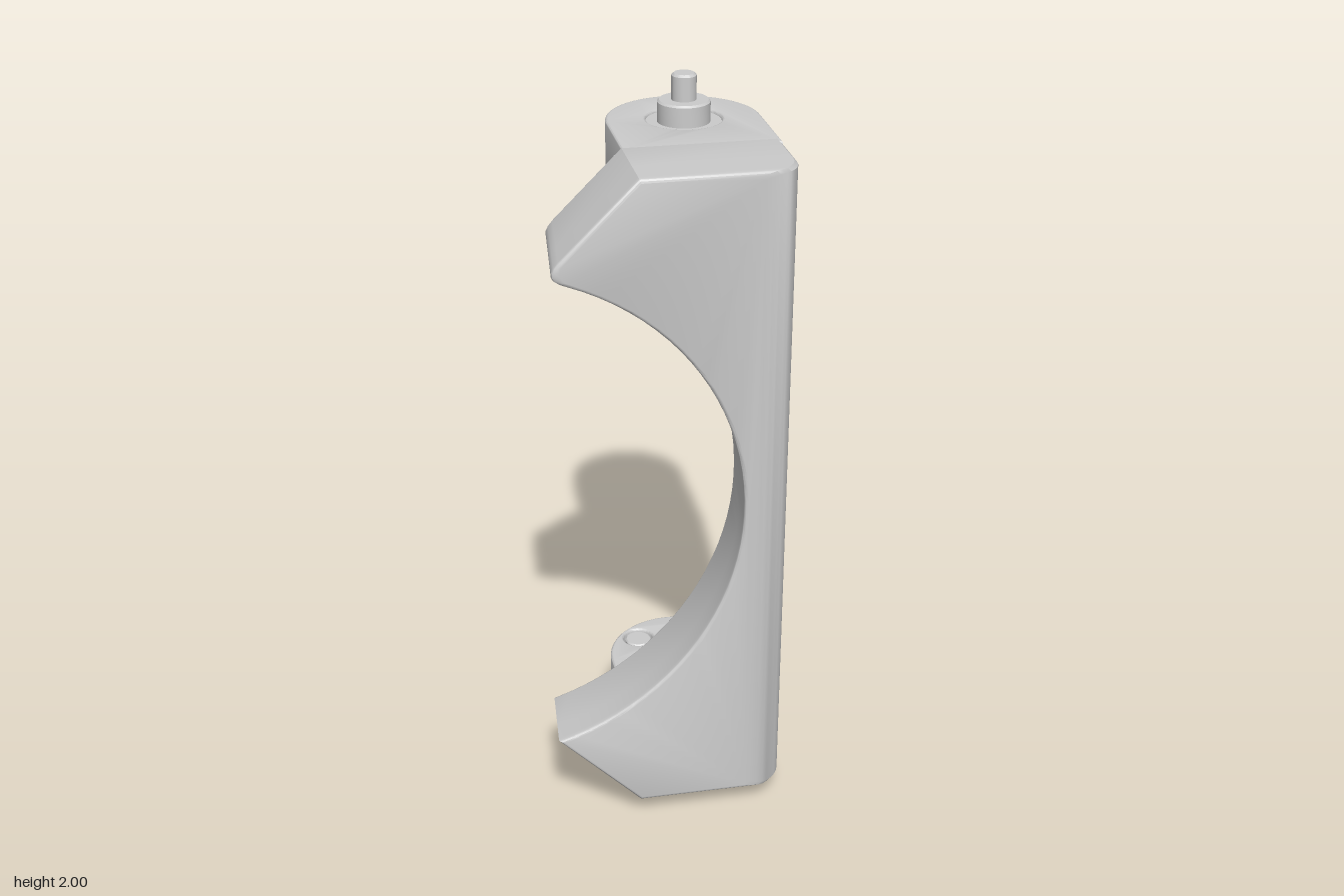
import * as THREE from 'three';
import { toCreasedNormals } from 'three/addons/utils/BufferGeometryUtils.js';

const material = new THREE.MeshStandardMaterial({ color: 0xcccccc });
const Y0 = 0.06, Y1 = 1.88, ARM = 0.17;          // body bottom, top and arm thickness
const LEFT = -0.09, RIGHT = 0.32, BACK = 0.08, FRONT = 0.335;
const CX = 0.115, CZ = -0.13, ARM_R = 0.205;     // arm axis and end radius

function add(parent, geometry, name) {
  const mesh = new THREE.Mesh(toCreasedNormals(geometry, 0.6), material);
  mesh.name = name;
  parent.add(mesh);
  return mesh;
}

// Outline of the upright at depth z, pulled in by e for the edge rounding
function uprightSection(z, e) {
  const r = 0.09, zc = FRONT - r;
  const xm = (z > zc ? RIGHT - r + Math.sqrt(Math.max(0, r * r - (z - zc) ** 2)) : RIGHT) - e;
  const y0 = Y0 + e, y1 = Y1 - e, b = 0.01;
  const R = THREE.MathUtils.mapLinear(z, BACK, FRONT, 0.73, 0.7) + e;
  const cx = -0.513, cy = 0.96;
  const onArc = (a) => new THREE.Vector2(cx + R * Math.cos(a), cy + R * Math.sin(a));
  const tipAngle = (k) => Math.acos((k + 1.414 * e) / (R * Math.SQRT2)) - Math.PI / 4;
  const aTop = tipAngle(-0.497), aBottom = -tipAngle(-0.477);

  const pts = [[xm - b, y0], [xm, y0 + b], [xm, y1 - b], [xm - b, y1], [LEFT + 0.4 * e, y1]]
    .map((p) => new THREE.Vector2(...p));
  // rounded upper tip
  const tip = onArc(aTop), d = 0.06, aStart = aTop - d / R;
  const slope = tip.clone().addScalar(d * Math.SQRT1_2);
  pts.push(...new THREE.QuadraticBezierCurve(slope, tip, onArc(aStart)).getPoints(6));
  // round cut-out down to the sharp lower tip
  const n = 40;
  for (let i = 1; i <= n; i++) pts.push(onArc(aStart + (aBottom - aStart) * i / n));
  pts.push(new THREE.Vector2(LEFT + 0.4 * e, y0));
  return pts;
}

// Upright lofted from back to front
function uprightGeometry() {
  const b = 0.01, levels = [];
  for (let i = 0; i <= 3; i++) {
    const a = i * Math.PI / 6;
    levels.push([BACK + b * (1 - Math.cos(a)), b * (1 - Math.sin(a))]);
  }
  for (let i = 0; i <= 6; i++) levels.push([FRONT - 0.09 + 0.08 * Math.sin(i * Math.PI / 12), 0]);
  for (let i = 1; i <= 3; i++) {
    const a = i * Math.PI / 6;
    levels.push([FRONT - b + b * Math.sin(a), b * (1 - Math.cos(a))]);
  }
  const sections = levels.map(([z, e]) => uprightSection(z, e));
  const n = sections[0].length, last = sections.length - 1;
  const position = [], index = [];
  sections.forEach((s, i) => s.forEach((p) => position.push(p.x, p.y, levels[i][0])));
  for (let i = 0; i < last; i++) {
    for (let j = 0; j < n; j++) {
      const k = (j + 1) % n, a = i * n + j, c = i * n + k;
      index.push(a, c, c + n, a, c + n, a + n);
    }
  }
  for (const [a, c, d] of THREE.ShapeUtils.triangulateShape(sections[last], [])) {
    index.push(a + last * n, c + last * n, d + last * n, a, d, c);
  }
  const g = new THREE.BufferGeometry();
  g.setAttribute('position', new THREE.Float32BufferAttribute(position, 3));
  g.setIndex(index);
  return g;
}

// Horizontal arm with a round end; holes are [x, z, radius]
function armGeometry(y, holes) {
  const b = 0.007, shape = new THREE.Shape();
  shape.moveTo(LEFT, -BACK - 0.03);
  shape.lineTo(RIGHT, -BACK - 0.03);
  shape.lineTo(RIGHT, -CZ);
  shape.absarc(CX, -CZ, ARM_R, 0, Math.PI, false);
  for (const [x, z, r] of holes) {
    shape.holes.push(new THREE.Path().absarc(x, -z, r, 0, Math.PI * 2, true));
  }
  const g = new THREE.ExtrudeGeometry(shape, {
    depth: ARM - 2 * b, bevelThickness: b, bevelSize: b, bevelOffset: -b, bevelSegments: 3, curveSegments: 24,
  });
  return g.rotateX(-Math.PI / 2).translate(0, y + b, 0);
}

// Concave fillet in a corner: u and v point along the two walls
function filletGeometry(r, length, origin, u, v) {
  const s = 0.01, shape = new THREE.Shape();
  shape.moveTo(-s, -s);
  shape.lineTo(r, -s);
  shape.lineTo(r, 0);
  shape.absarc(r, r, r, -Math.PI / 2, -Math.PI, true);
  shape.lineTo(-s, r);
  const g = new THREE.ExtrudeGeometry(shape, { depth: length, bevelEnabled: false, curveSegments: 8 });
  const U = new THREE.Vector3(...u), V = new THREE.Vector3(...v);
  const m = new THREE.Matrix4().makeBasis(U, V, U.clone().cross(V)).setPosition(...origin);
  return g.applyMatrix4(m);
}

const lathe = (profile) =>
  new THREE.LatheGeometry(profile.map((p) => new THREE.Vector2(...p)), 32);

export function createModel() {
  const model = new THREE.Group();
  model.name = 'bracket';

  add(model, uprightGeometry(), 'upright');

  // Arms
  const corners = [-1, 1].flatMap((i) => [-1, 1].map((j) => [CX + i * 0.105, CZ + j * 0.105]));
  add(model, armGeometry(Y1 - ARM, [[CX, CZ, 0.1]]), 'upperArm');
  add(model, armGeometry(Y0, [[CX, CZ, 0.06], ...corners.map(([x, z]) => [x, z, 0.045])]), 'lowerArm');

  // Fillets between arms and upright
  const w = RIGHT - LEFT - 0.01;
  add(model, filletGeometry(0.05, w, [RIGHT - 0.005, Y1 - ARM, BACK], [0, 0, -1], [0, -1, 0]), 'upperFillet');
  add(model, filletGeometry(0.05, w, [LEFT + 0.005, Y0 + ARM, BACK], [0, 0, -1], [0, 1, 0]), 'lowerFillet');
  for (const [name, top] of [['upperSideFillet', Y1 - 0.02], ['lowerSideFillet', Y0 + ARM - 0.005]]) {
    add(model, filletGeometry(0.018, ARM - 0.025, [LEFT, top, BACK], [-1, 0, 0], [0, 0, -1]), name);
  }

  // Spindle with its bearing in the upper arm
  const spindle = add(model, lathe([
    [0, 1.64], [0.068, 1.64], [0.075, 1.647], [0.075, 1.717], [0.1, 1.717], [0.1, 1.872], [0.07, 1.872],
    [0.07, 1.925], [0.065, 1.93], [0.033, 1.93], [0.033, 1.994], [0.027, 2], [0, 2],
  ]), 'spindle');
  spindle.position.set(CX, 0, CZ);

  // Four screws sunk into the lower arm
  for (const [x, z] of corners) {
    const screw = add(model, lathe([
      [0, 0], [0.021, 0], [0.025, 0.004], [0.025, Y0], [0.052, Y0], [0.052, 0.2], [0.039, 0.2],
      [0.039, 0.222], [0.035, 0.226], [0, 0.226],
    ]), 'screw');
    screw.position.set(x, 0, z);
  }
  return model;
}
